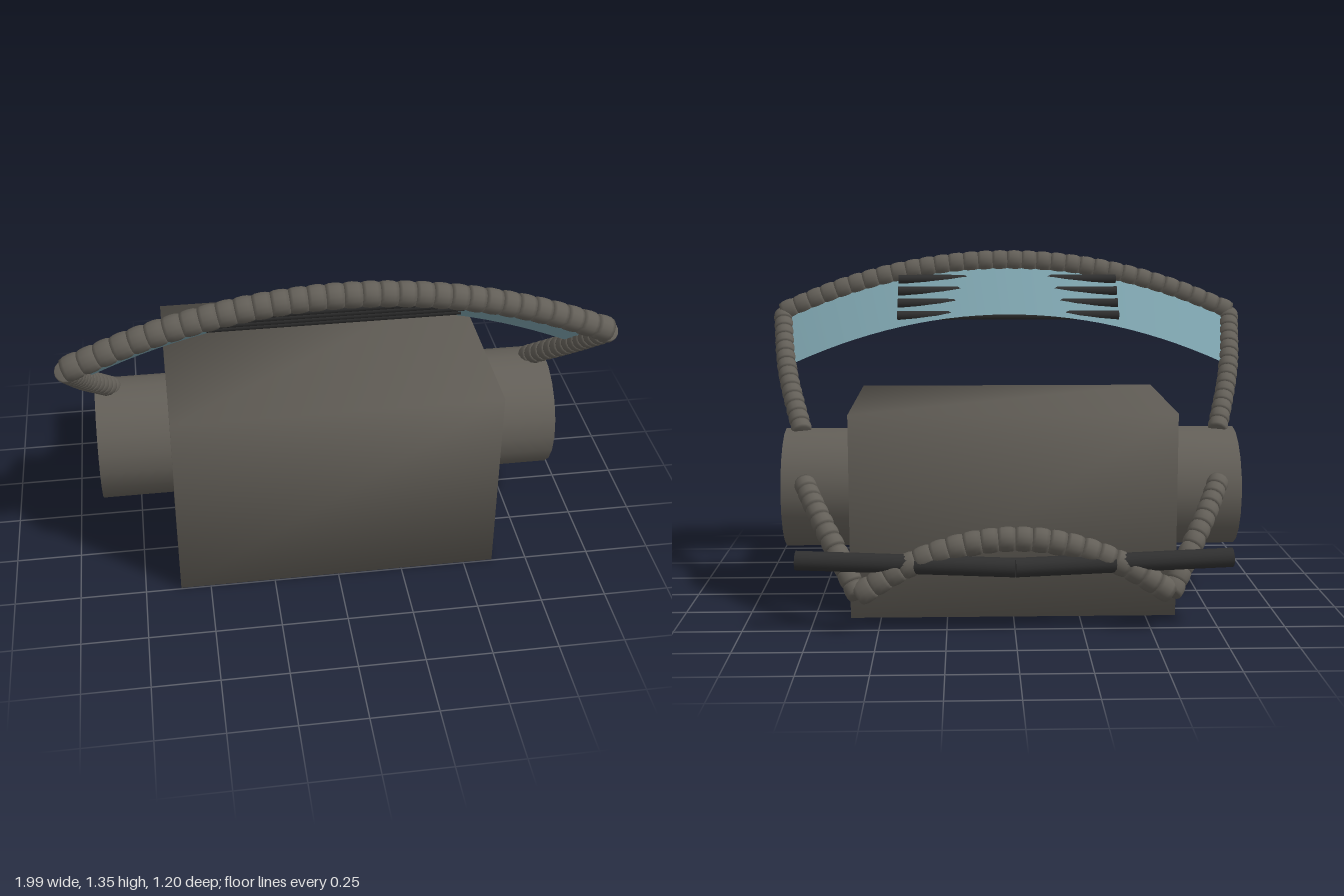
import * as THREE from 'three';
import { mergeVertices } from 'three/addons/utils/BufferGeometryUtils.js';

const V = (x, y, z) => new THREE.Vector3(x, y, z);

function material(name, color, side = THREE.FrontSide) {
  const m = new THREE.MeshStandardMaterial({ color, side });
  m.name = name;
  return m;
}

// Weld all corners so that the shading runs smoothly over the edges
function weld(geometry) {
  geometry.deleteAttribute('uv');
  geometry.deleteAttribute('normal');
  const g = mergeVertices(geometry, 1e-4);
  g.computeVertexNormals();
  return g;
}

export function createModel() {
  const model = new THREE.Group();
  model.name = 'model';
  const grey = material('warm grey', 0x635f58);
  const dark = material('charcoal', 0x303030);
  const teal = material('dusty teal', 0x7a9fa9, THREE.DoubleSide);

  const add = (name, geometry, mat, parent = model) => {
    const mesh = new THREE.Mesh(geometry, mat);
    mesh.name = name;
    parent.add(mesh);
    return mesh;
  };

  // Straight round bar between two points
  const bar = (name, a, b, r, sides, mat, parent) => {
    const mesh = add(name, new THREE.CylinderGeometry(r, r, a.distanceTo(b), sides), mat, parent);
    mesh.position.copy(a).lerp(b, 0.5);
    mesh.quaternion.setFromUnitVectors(V(0, 1, 0), b.clone().sub(a).normalize());
  };

  // Hose made of overlapping barrel-shaped segments along a curve
  const hose = (name, points, radius, count) => {
    const group = new THREE.Group();
    group.name = name;
    const curve = new THREE.CatmullRomCurve3(points);
    const p = curve.getSpacedPoints(count);
    for (let i = 0; i < count; i++) {
      const h = p[i].distanceTo(p[i + 1]) * 0.54;
      const profile = [[0, -h], [0.86, -h], [0.97, -h * 0.55], [1, 0], [0.97, h * 0.55], [0.86, h], [0, h]]
        .map(([r, y]) => new THREE.Vector2(r * radius, y));
      const segment = add('hoseSegment', new THREE.LatheGeometry(profile, 14), grey, group);
      segment.position.copy(p[i]).lerp(p[i + 1], 0.5);
      segment.quaternion.setFromUnitVectors(V(0, 1, 0), p[i + 1].clone().sub(p[i]).normalize());
    }
    model.add(group);
  };

  // Body block and the drum running through it
  const block = add('body', weld(new THREE.BoxGeometry(1.23, 0.775, 0.835)), grey);
  block.position.set(0, 0.3875, 0.0775);
  const drum = add('drum', weld(new THREE.CylinderGeometry(0.236, 0.236, 1.78, 20).rotateZ(Math.PI / 2)), grey);
  drum.position.set(0, 0.428, 0.055);

  // Arched hoses across the front and back
  const arch = (half, top, drop, z) => Array.from({ length: 9 }, (_, i) => {
    const t = i / 4 - 1;
    return V(t * half, top - drop * t * t, z);
  });
  hose('frontArch', arch(0.955, 1.302, 0.218, 0.552), 0.047, 32);
  hose('rearArch', arch(0.57, 0.348, 0.205, -0.53), 0.046, 20);

  // Arms from the drum to the arches
  for (const [side, s] of [['left', 1], ['right', -1]]) {
    hose(side + 'FrontArm', [V(s * 0.955, 1.08, 0.552), V(s * 0.91, 0.865, 0.29), V(s * 0.825, 0.65, 0.03)], 0.041, 14);
    hose(side + 'RearArm', [V(s * 0.8, 0.49, -0.17), V(s * 0.74, 0.405, -0.3),
      V(s * 0.655, 0.28, -0.43), V(s * 0.57, 0.14, -0.53)], 0.042, 11);
  }

  // Thin arched visor sloping back from the front arch
  const visor = new THREE.PlaneGeometry(1, 1, 28, 1);
  const pos = visor.attributes.position;
  for (let i = 0; i < pos.count; i++) {
    const t = pos.getX(i) * 2;
    const upper = pos.getY(i) > 0;
    const x = t * (upper ? 0.93 : 0.885);
    if (upper) pos.setXYZ(i, x, 1.28 - 0.205 * t * t, 0.53);
    else pos.setXYZ(i, x, 1.093 - 0.198 * t * t, 0.312);
  }
  visor.computeVertexNormals();
  add('visor', visor, teal);

  // Four straight rods set into the visor
  for (let i = 0; i < 4; i++) {
    const y = 1.087 + i * 0.047, z = 0.35 + i * 0.052;
    bar('visorRod', V(-0.46, y, z), V(0.46, y, z), 0.019, 10, dark);
  }

  // Rear handle, bent slightly at the middle
  for (const [side, s] of [['left', 1], ['right', -1]]) {
    bar(side + 'RearHandle', V(0, 0.25, -0.564), V(s * 0.797, 0.268, -0.508), 0.036, 12, dark);
  }
  return model;
}
